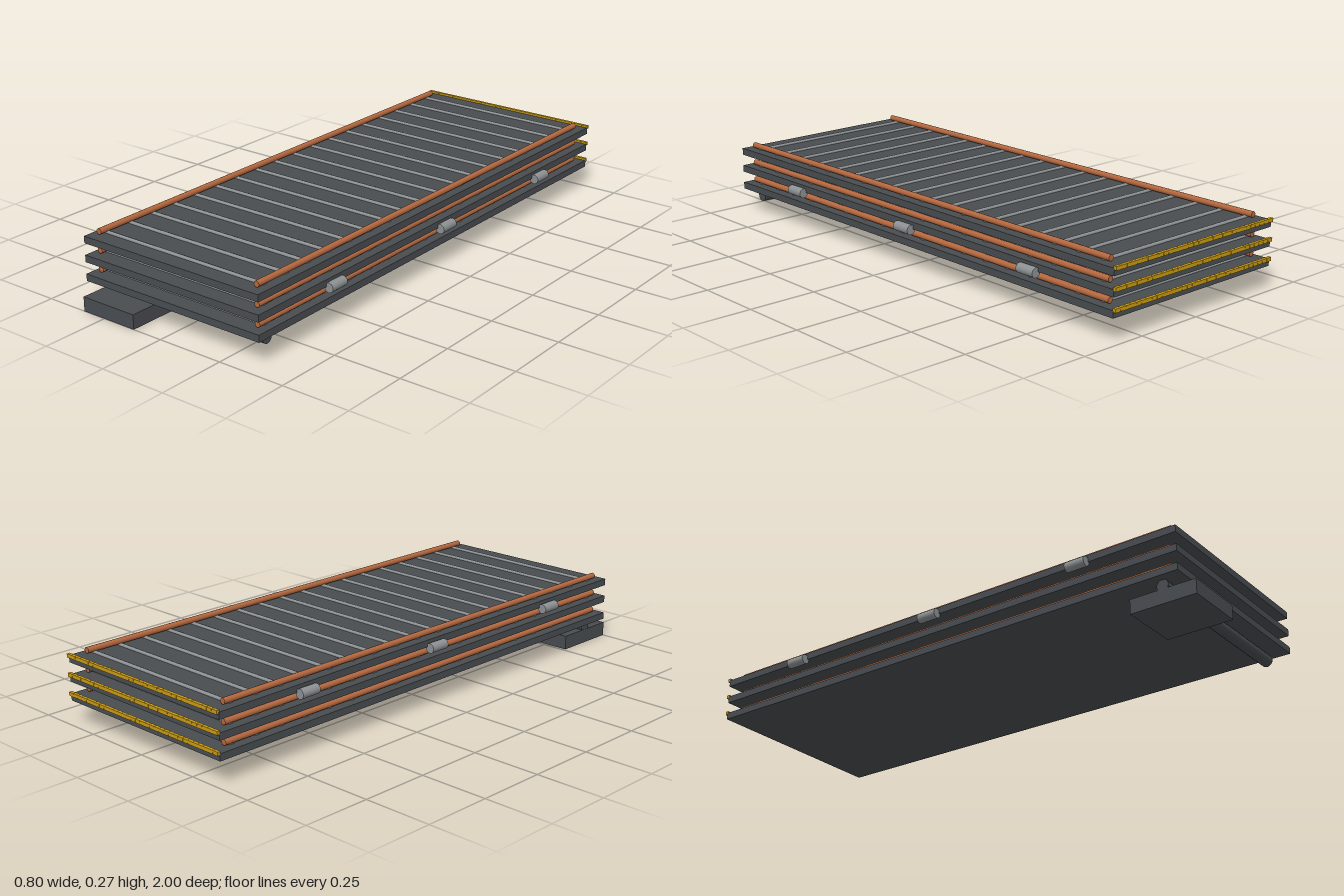
import * as THREE from 'three';

const mat = (name, color) => {
  const m = new THREE.MeshStandardMaterial({ color });
  m.name = name;
  return m;
};

export function createModel() {
  const slate = mat('slate', 0x484c50);
  const copper = mat('copper', 0xb5683f);
  const steel = mat('steel', 0x8d9193);
  const gold = mat('gold', 0xc99a12);
  const root = new THREE.Group();
  root.name = 'foldedPanelStack';

  const add = (parent, name, geometry, material, x, y, z) => {
    const mesh = new THREE.Mesh(geometry, material);
    mesh.name = name;
    mesh.position.set(x, y, z);
    parent.add(mesh);
    return mesh;
  };
  const box = (w, h, d) => new THREE.BoxGeometry(w, h, d);
  const rodX = (r, length, sides) => new THREE.CylinderGeometry(r, r, length, sides).rotateZ(Math.PI / 2);
  const rodZ = (r, length, sides) => new THREE.CylinderGeometry(r, r, length, sides).rotateX(Math.PI / 2);

  const slab = box(0.744, 0.025, 1.945);
  const rib = rodX(0.008, 0.68, 8);
  const rail = rodZ(0.0105, 1.865, 12);
  const tooth = box(0.0225, 0.013, 0.012);

  // Three stacked panels, each with ribs, side rails and a contact edge
  for (let level = 0; level < 3; level++) {
    const panel = new THREE.Group();
    panel.name = `panel${level + 1}`;
    panel.position.y = 0.109 + level * 0.067;
    root.add(panel);
    add(panel, 'slab', slab, slate, 0, -0.0125, -0.0185);
    for (let i = 0; i < 18; i++) add(panel, 'rib', rib, steel, 0, 0, -0.915 + i * 0.1059);
    for (const side of [-1, 1]) add(panel, 'rail', rail, copper, side * 0.337, 0.0135, -0.0125);
    // Contacts along the back edge
    for (let i = 0; i < 32; i++) add(panel, 'contact', tooth, gold, (i - 15.5) * 0.02325, 0.001, -0.994);
  }

  // Hinge barrels alternate sides between the panels
  const barrel = rodZ(0.0175, 0.075, 20);
  for (const z of [-0.631, -0.022, 0.59]) {
    add(root, 'rightHinge', barrel, steel, -0.383, 0.216, z);
    add(root, 'leftHinge', barrel, steel, 0.381, 0.15, z);
  }

  // Drive shaft and control box below the front edge
  add(root, 'driveShaft', rodX(0.0215, 0.682, 16), slate, 0, 0.0645, 0.88);
  add(root, 'controlBox', box(0.225, 0.052, 0.24), slate, -0.2295, 0.026, 0.88);
  return root;
}
